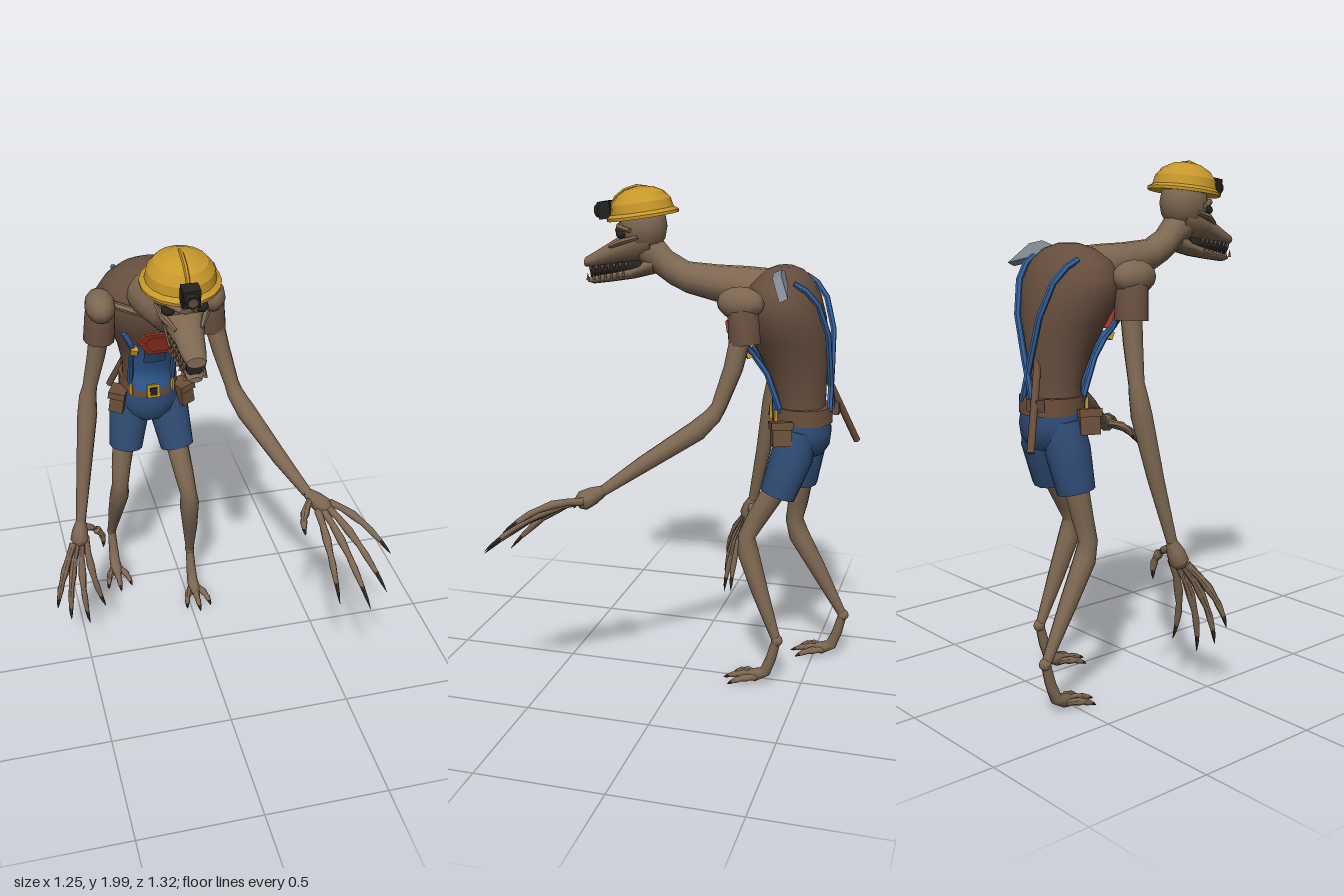
import * as THREE from 'three';
import { toCreasedNormals } from 'three/addons/utils/BufferGeometryUtils.js';

const mat = (name, color, both) => {
  const m = new THREE.MeshStandardMaterial({ color });
  m.name = name;
  if (both) m.side = THREE.DoubleSide;
  return m;
};
const V = (a) => new THREE.Vector3(a[0], a[1], a[2]);
const CX = -0.13; // body's middle line

export function createModel() {
  const root = new THREE.Group();
  const skin = mat('skin', 0x7d6751), shirt = mat('shirt', 0x664e3e), denim = mat('denim', 0x2f4c75),
    blue = mat('bibBlue', 0x32609c, true), yellow = mat('yellow', 0xc7982a), red = mat('red', 0xa03526),
    steel = mat('steel', 0x7f8a94), black = mat('black', 0x24211f), leather = mat('leather', 0x6b4e3a),
    claw = mat('claw', 0x3a3028);

  const add = (name, geo, m, pos = [0, 0, 0], rot = [0, 0, 0], parent = root) => {
    const mesh = new THREE.Mesh(geo, m);
    mesh.name = name;
    mesh.position.set(...pos);
    mesh.rotation.set(...rot);
    parent.add(mesh);
    return mesh;
  };

  // Skin a row of elliptical rings {c, u, v}, with closed ends
  const loft = (rings, n = 14, crease = 0.9) => {
    const pos = [], idx = [];
    for (const { c, u, v } of rings)
      for (let j = 0; j < n; j++) {
        const t = (j / n) * Math.PI * 2;
        const p = c.clone().addScaledVector(u, Math.cos(t)).addScaledVector(v, Math.sin(t));
        pos.push(p.x, p.y, p.z);
      }
    const last = rings.length - 1, s = rings.length * n;
    for (const r of [rings[0], rings[last]]) pos.push(r.c.x, r.c.y, r.c.z);
    for (let j = 0; j < n; j++) {
      const k = (j + 1) % n;
      for (let i = 0; i < last; i++) {
        const a = i * n + j, b = i * n + k;
        idx.push(a, b, a + n, b, b + n, a + n);
      }
      idx.push(s, k, j, s + 1, last * n + j, last * n + k);
    }
    const g = new THREE.BufferGeometry();
    g.setAttribute('position', new THREE.Float32BufferAttribute(pos, 3));
    g.setIndex(idx);
    return toCreasedNormals(g, crease);
  };
  // Upright rows: [y, zCentre, halfX, halfZ]
  const upright = (rows) => loft(rows.map(([y, z, hx, hz]) => ({
    c: V([CX, y, z]), u: V([0, 0, hz]), v: V([hx, 0, 0]) })), 20);
  // Forward rows: [z, yCentre, halfX, halfY]
  const forward = (rows) => loft(rows.map(([z, y, hx, hy]) => ({
    c: V([CX, y, z]), u: V([hx, 0, 0]), v: V([0, hy, 0]) })), 14);
  // Round limb through points [x, y, z, radius]
  const limb = (pts, n = 10) => loft(pts.map((p, i) => {
    const d = V(pts[Math.min(i + 1, pts.length - 1)]).sub(V(pts[Math.max(i - 1, 0)])).normalize();
    const ref = Math.abs(d.x) > 0.85 ? V([0, 0, 1]) : V([1, 0, 0]);
    const u = ref.addScaledVector(d, -ref.dot(d)).normalize();
    const v = d.clone().cross(u);
    return { c: V(p), u: u.multiplyScalar(p[3]), v: v.multiplyScalar(p[3]) };
  }), n);
  const ball = (name, m, pos, scale) => add(name, new THREE.SphereGeometry(1, 12, 8), m, pos).scale.set(...scale);
  const box = (name, m, pos, size, rot, parent) => add(name, new THREE.BoxGeometry(...size), m, pos, rot, parent);

  // Hunched torso and neck
  const torso = [[1.08, -0.445, 0.115, 0.1], [1.2, -0.445, 0.105, 0.1], [1.32, -0.42, 0.13, 0.127],
    [1.42, -0.395, 0.168, 0.152], [1.5, -0.37, 0.205, 0.165], [1.58, -0.36, 0.215, 0.152],
    [1.64, -0.36, 0.175, 0.122], [1.68, -0.365, 0.115, 0.08], [1.7, -0.37, 0.045, 0.035]];
  add('torso', upright(torso), shirt);
  add('neck', forward([[-0.34, 1.6, 0.11, 0.085], [-0.22, 1.61, 0.112, 0.082], [-0.1, 1.622, 0.09, 0.072],
    [0.02, 1.64, 0.066, 0.062], [0.09, 1.675, 0.058, 0.066], [0.15, 1.73, 0.06, 0.08], [0.22, 1.77, 0.06, 0.07]]), skin);
  for (const s of [-1, 1])
    add('collarBone', limb([[CX + s * 0.03, 1.55, -0.18, 0.012], [CX + s * 0.1, 1.57, -0.2, 0.016],
      [CX + s * 0.19, 1.59, -0.25, 0.015]], 6), skin);

  // Head: skull, upper and lower jaw, mouth, teeth, eyes
  ball('skull', skin, [CX, 1.835, 0.205], [0.094, 0.11, 0.1]);
  add('snout', forward([[0.16, 1.79, 0.07, 0.07], [0.22, 1.775, 0.08, 0.075], [0.28, 1.75, 0.07, 0.058],
    [0.34, 1.725, 0.053, 0.045], [0.4, 1.7, 0.045, 0.033], [0.445, 1.687, 0.034, 0.02]]), skin);
  add('lowerJaw', forward([[0.15, 1.69, 0.055, 0.04], [0.24, 1.655, 0.056, 0.028], [0.34, 1.632, 0.044, 0.022],
    [0.41, 1.617, 0.036, 0.017], [0.435, 1.615, 0.022, 0.01]]), skin);
  add('mouth', forward([[0.2, 1.68, 0.052, 0.03], [0.32, 1.665, 0.04, 0.03], [0.42, 1.65, 0.031, 0.025]]), black);
  for (const s of [-1, 1]) {
    for (let i = 0; i < 7; i++) {
      const z = 0.26 + i * 0.026, x = CX + s * (0.053 - i * 0.0028);
      add('upperTooth', new THREE.ConeGeometry(0.008, 0.034, 5), skin, [x, 1.682 - i * 0.004, z], [Math.PI, 0, 0]);
      add('lowerTooth', new THREE.ConeGeometry(0.007, 0.03, 5), skin, [x, 1.657 - i * 0.004, z + 0.012]);
    }
    ball('eye', black, [CX + s * 0.058, 1.808, 0.272], [0.026, 0.02, 0.026]);
    add('brow', limb([[CX + s * 0.02, 1.815, 0.305, 0.01], [CX + s * 0.06, 1.838, 0.285, 0.014],
      [CX + s * 0.092, 1.825, 0.23, 0.01]], 6), skin);
    add('cheekBone', limb([[CX + s * 0.045, 1.755, 0.33, 0.008], [CX + s * 0.075, 1.78, 0.27, 0.014],
      [CX + s * 0.085, 1.8, 0.2, 0.01]], 6), skin);
  }

  // Hard hat with ridge and lamp
  const hat = new THREE.Group();
  hat.name = 'hardHat';
  hat.position.set(CX, 1.876, 0.205);
  hat.rotation.x = 0.15;
  root.add(hat);
  const profile = [[0, 0.004], [0.115, 0], [0.143, -0.004], [0.144, 0.008], [0.126, 0.02], [0.119, 0.055],
    [0.095, 0.086], [0.055, 0.108], [0, 0.117]].map((p) => new THREE.Vector2(...p));
  add('shell', toCreasedNormals(new THREE.LatheGeometry(profile, 18), 0.35), yellow, [0, 0, 0], [0, 0, 0], hat);
  add('ridge', limb([[0, 0.108, -0.03, 0.007], [0, 0.117, 0.01, 0.008], [0, 0.108, 0.06, 0.008],
    [0, 0.085, 0.1, 0.008], [0, 0.055, 0.122, 0.007]], 6), yellow, [0, 0, 0], [0, 0, 0], hat);
  box('lamp', black, [0, 0.042, 0.148], [0.062, 0.068, 0.05], [0, 0, 0], hat);
  add('lampRim', new THREE.CylinderGeometry(0.025, 0.028, 0.025, 10), black, [0, 0.042, 0.178], [Math.PI / 2, 0, 0], hat);
  add('lampGlass', new THREE.CylinderGeometry(0.018, 0.018, 0.006, 10), leather, [0, 0.042, 0.191], [Math.PI / 2, 0, 0], hat);

  // Fingers and toes: jointed limb with a dark claw, arched by "bend"
  const digit = (name, a, b, bend, r) => {
    const curve = new THREE.QuadraticBezierCurve3(V(a), V(a).add(V(b)).multiplyScalar(0.5).addScaledVector(V(bend), 2), V(b));
    const at = (t, k) => [...curve.getPoint(t).toArray(), r * k];
    add(name, limb([at(0, 1), at(0.2, 0.85), at(0.38, 1.1), at(0.55, 0.75), at(0.66, 0.85), at(0.83, 0.55)], 7), skin);
    add(name + 'Claw', limb([at(0.82, 0.58), at(0.92, 0.38), at(1, 0.04)], 6), claw);
  };

  // Arms
  const arms = [
    { name: 'right', s: -1, bend: [-0.015, 0, 0.022],
      pts: [[-0.345, 1.5, -0.26, 0.042], [-0.37, 1.35, -0.27, 0.037], [-0.4, 1.21, -0.28, 0.03], [-0.41, 1.17, -0.28, 0.035],
        [-0.418, 1.09, -0.27, 0.041], [-0.45, 0.86, -0.23, 0.032], [-0.485, 0.62, -0.18, 0.021]],
      palm: [-0.5, 0.54, -0.155], side: [0.028, 0.005, -0.012],
      tips: [[-0.41, 0.2, -0.1], [-0.49, 0.16, -0.05], [-0.57, 0.21, -0.035], [-0.625, 0.29, -0.03]],
      thumb: [-0.395, 0.455, -0.19], thumbBend: [0.028, 0.02, 0] },
    { name: 'left', s: 1, bend: [0, 0.035, 0],
      pts: [[0.095, 1.5, -0.26, 0.042], [0.13, 1.34, -0.23, 0.037], [0.165, 1.2, -0.185, 0.03], [0.175, 1.165, -0.165, 0.035],
        [0.205, 1.11, -0.11, 0.041], [0.3, 0.985, 0.08, 0.032], [0.375, 0.895, 0.21, 0.021]],
      palm: [0.425, 0.865, 0.275], side: [-0.028, -0.006, 0.012],
      tips: [[0.4, 0.63, 0.59], [0.5, 0.64, 0.655], [0.575, 0.68, 0.62], [0.62, 0.78, 0.52]],
      thumb: [0.33, 0.795, 0.35], thumbBend: [-0.02, 0.015, 0.01] }];
  for (const { name, s, bend, pts, palm, side, tips, thumb, thumbBend } of arms) {
    const x = CX + s * 0.217, wrist = pts[6];
    ball(name + 'Shoulder', skin, [x, 1.583, -0.245], [0.06, 0.063, 0.092]);
    add(name + 'Sleeve', limb([[x, 1.6, -0.25, 0.04], [x, 1.55, -0.255, 0.06], [x + s * 0.008, 1.43, -0.265, 0.063]], 12), shirt);
    add(name + 'Arm', limb(pts, 10), skin);
    add(name + 'Palm', limb([wrist, [...V(wrist).lerp(V(palm), 0.5).toArray(), 0.034], [...palm, 0.038],
      [...V(wrist).lerp(V(palm), 1.25).toArray(), 0.022]], 8), skin);
    tips.forEach((tip, i) => digit(name + 'Finger',
      V(palm).addScaledVector(V(side), 1 - i * 0.667).toArray(), tip, bend, 0.016));
    digit(name + 'Thumb', V(wrist).lerp(V(palm), 0.4).addScaledVector(V(side), 0.6).toArray(), thumb, thumbBend, 0.017);
  }

  // Shorts, legs and three-toed feet
  add('shortsSeat', upright([[0.96, -0.45, 0.085, 0.09], [1.0, -0.45, 0.125, 0.115], [1.05, -0.45, 0.135, 0.12], [1.11, -0.45, 0.12, 0.115]]), denim);
  const legs = [
    { name: 'left', shorts: [[-0.065, 1.06, -0.45, 0.075], [-0.045, 0.96, -0.43, 0.085], [-0.023, 0.805, -0.38, 0.072]],
      pts: [[-0.03, 0.85, -0.385, 0.05], [-0.01, 0.7, -0.3, 0.042], [0, 0.625, -0.262, 0.036],
        [0.005, 0.56, -0.27, 0.043], [0.02, 0.4, -0.325, 0.034], [0.035, 0.2, -0.4, 0.018]] },
    { name: 'right', shorts: [[-0.195, 1.06, -0.455, 0.075], [-0.215, 0.96, -0.45, 0.085], [-0.238, 0.805, -0.43, 0.072]],
      pts: [[-0.242, 0.85, -0.44, 0.05], [-0.265, 0.7, -0.42, 0.042], [-0.275, 0.62, -0.405, 0.037],
        [-0.278, 0.55, -0.425, 0.043], [-0.285, 0.4, -0.51, 0.034], [-0.292, 0.2, -0.62, 0.018]] }];
  for (const { name, shorts, pts } of legs) {
    add(name + 'ShortsLeg', limb(shorts, 14), denim);
    add(name + 'Leg', limb(pts, 10), skin);
    const [x, , z] = pts[5];
    ball(name + 'Heel', skin, [x, 0.2, z - 0.002], [0.022, 0.024, 0.024]);
    add(name + 'Foot', limb([[x, 0.2, z, 0.018], [x, 0.12, z + 0.02, 0.021], [x, 0.055, z + 0.045, 0.024],
      [x, 0.035, z + 0.09, 0.028], [x, 0.028, z + 0.12, 0.018]], 8), skin);
    for (const d of [-1, 0, 1])
      digit(name + 'Toe', [x + d * 0.016, 0.032, z + 0.08], [x + d * 0.055, 0.006, z + 0.22 - Math.abs(d) * 0.03], [d * 0.006, 0.012, 0], 0.015);
  }

  // Belt, buckle, pouches and tool holder
  add('belt', upright([[1.09, -0.453, 0.124, 0.121], [1.155, -0.453, 0.122, 0.119]]), leather);
  box('buckle', yellow, [CX, 1.122, -0.332], [0.054, 0.06, 0.016]);
  box('buckleCentre', black, [CX, 1.122, -0.322], [0.03, 0.036, 0.006]);
  for (const s of [-1, 1]) {
    box('pouch', leather, [CX + s * 0.138, 1.06, -0.395], [0.06, 0.085, 0.075], [0, s * 0.4, s * 0.15]);
    box('pouchFlap', leather, [CX + s * 0.137, 1.098, -0.393], [0.07, 0.03, 0.085], [0, s * 0.4, s * 0.15]);
    box('beltLoop', yellow, [CX + s * 0.088, 1.122, -0.362], [0.012, 0.05, 0.012], [0, s * 0.6, 0]);
  }
  box('toolHolder', leather, [-0.19, 1.135, -0.575], [0.06, 0.045, 0.035]);

  // Bib and pocket wrapped over the front of the torso
  const wrap = (w, y0, y1, lift) => {
    const g = new THREE.PlaneGeometry(w, y1 - y0, 8, 8), p = g.attributes.position;
    for (let i = 0; i < p.count; i++) {
      const y = p.getY(i) + (y0 + y1) / 2, x = p.getX(i);
      const k = torso.findIndex((r) => r[0] >= y), a = torso[k - 1], b = torso[k], t = (y - a[0]) / (b[0] - a[0]);
      const [, zc, hx, hz] = a.map((q, j) => q + (b[j] - q) * t);
      p.setXYZ(i, CX + x, y, zc + hz * Math.sqrt(Math.max(0, 1 - (x / hx) ** 2)) + lift);
    }
    g.computeVertexNormals();
    return g;
  };
  add('bib', wrap(0.18, 1.12, 1.38, 0.014), blue);
  add('bibPocket', wrap(0.09, 1.28, 1.375, 0.022), denim).material.side = THREE.DoubleSide;
  for (const s of [-1, 1]) {
    const at = (...ps) => ps.map(([d, y, z]) => [CX + s * d, y, z, 0.012]);
    add('frontStrap', limb(at([0.128, 1.45, -0.245], [0.105, 1.4, -0.245], [0.08, 1.34, -0.285]), 6), blue);
    add('bibEdge', limb(at([0.085, 1.38, -0.255], [0.09, 1.29, -0.325], [0.088, 1.13, -0.385]), 6), blue);
    box('strapClip', yellow, [CX + s * 0.088, 1.362, -0.25], [0.03, 0.03, 0.02], [0.4, s * 0.4, 0]);
    add('backStrap', limb(at([0.13, 1.65, -0.43], [0.12, 1.625, -0.475], [0.1, 1.57, -0.52], [0.065, 1.45, -0.556],
      [0.02, 1.3, -0.562], [-0.03, 1.14, -0.565]), 6), blue);
  }
  ball('strapButton', blue, [-0.267, 1.638, -0.395], [0.016, 0.014, 0.016]);

  // Plain red chest badge, leaning forward at the top
  const badgeShape = (k) => new THREE.Shape([[-0.06, 0.058], [0.06, 0.058], [0.09, 0.02], [0.045, -0.058], [-0.045, -0.058], [-0.09, 0.02]]
    .map(([x, y]) => new THREE.Vector2(x * k, y * k)));
  const badge = (name, k, z) => add(name, new THREE.ExtrudeGeometry(badgeShape(k), { depth: 0.009, bevelEnabled: false }), red, [CX, 1.432, z], [0.39, 0, 0]);
  badge('badge', 1, -0.178);
  badge('badgeCentre', 0.68, -0.172);

  // Pick carried on the back
  add('pickHandle', limb([[-0.265, 0.985, -0.655, 0.014], [-0.14, 1.32, -0.52, 0.014], [0, 1.67, -0.385, 0.014]], 8), leather);
  const blade = new THREE.Shape([[-0.07, -0.025], [0.02, -0.015], [0.155, -0.055], [0.075, 0.03], [0.01, 0.047], [-0.07, 0.03]]
    .map((p) => new THREE.Vector2(...p)));
  add('pickHead', new THREE.ExtrudeGeometry(blade, { depth: 0.035, bevelEnabled: false }), steel, [0, 1.662, -0.403], [0.45, 0.08, 0]);

  return root;
}
